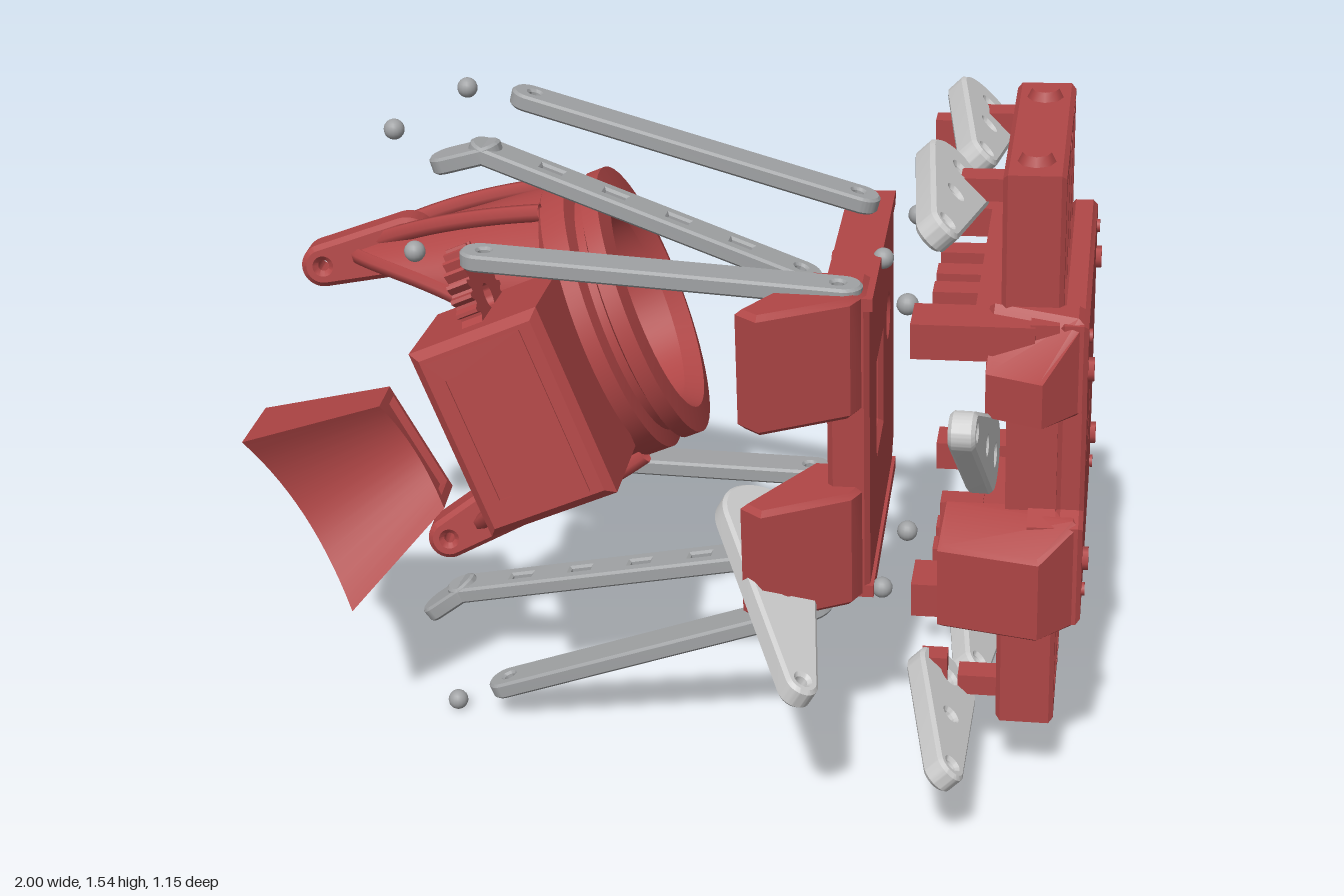
import * as THREE from 'three';
import { toCreasedNormals } from 'three/addons/utils/BufferGeometryUtils.js';

const mat = (color) => new THREE.MeshStandardMaterial({ color, side: THREE.DoubleSide });
const V = (a) => new THREE.Vector3(...a);

export function createModel() {
  const root = new THREE.Group();
  const red = mat(0xb04646), light = mat(0xcccccc), steel = mat(0xa0a2a4);

  const group = (name, parent = root) => {
    const g = new THREE.Group();
    g.name = name;
    parent.add(g);
    return g;
  };
  const add = (parent, name, geo, material = red, pos = [0, 0, 0]) => {
    const m = new THREE.Mesh(geo, material);
    m.name = name;
    m.position.set(...pos);
    parent.add(m);
    return m;
  };
  const box = (parent, name, size, pos) => add(parent, name, new THREE.BoxGeometry(...size), red, pos);
  const poly = (pts) => new THREE.Shape(pts.map((p) => new THREE.Vector2(...p)));
  const rect = (x0, y0, x1, y1) => poly([[x0, y0], [x1, y0], [x1, y1], [x0, y1]]);
  const circle = (x, y, r) => new THREE.Shape().absarc(x, y, r, 0, Math.PI * 2);
  const extrude = (shape, depth, holes = [], bevel = 0) => {
    shape.holes.push(...holes);
    return toCreasedNormals(new THREE.ExtrudeGeometry(shape, {
      depth, curveSegments: 14, bevelEnabled: bevel > 0, bevelSize: bevel,
      bevelThickness: bevel, bevelOffset: -bevel, bevelSegments: 1,
    }), 0.5);
  };
  // Outline in (z, y), thickness running toward -x
  const slab = (shape, depth, holes, bevel) => extrude(shape, depth, holes, bevel).rotateY(-Math.PI / 2);
  // Outline in (x, z), thickness running down from y = 0
  const prism = (pts, height) => extrude(poly(pts), height, [], 0.012).rotateX(Math.PI / 2);
  // Move every vertex by a rule, keeping hard edges
  const reshape = (geo, rule) => {
    const p = geo.attributes.position;
    for (let i = 0; i < p.count; i++) p.setXYZ(i, ...rule(p.getX(i), p.getY(i), p.getZ(i)));
    return toCreasedNormals(geo, 0.5);
  };
  // Local x along xDir, local z close to normal
  const orient = (obj, pos, xDir, normal) => {
    const x = V(xDir).normalize();
    const y = V(normal).cross(x).normalize();
    const z = x.clone().cross(y);
    obj.quaternion.setFromRotationMatrix(new THREE.Matrix4().makeBasis(x, y, z));
    obj.position.set(...pos);
    return obj;
  };
  const between = (p, q) => [q[0] - p[0], q[1] - p[1], q[2] - p[2]];

  // Tapered outline with round ends, used by horns, links and prongs
  const taper = (len, r1, r2) => {
    const t = Math.acos((r1 - r2) / len);
    const s = new THREE.Shape();
    s.absarc(0, 0, r1, t, 2 * Math.PI - t);
    s.absarc(len, 0, r2, -t, t);
    return s;
  };

  // ---- Body shell ----
  const body = group('body');
  body.position.set(0.905, 0.855, -0.13);
  body.rotation.set(0.025, 0.2, 0.035);
  // The front edge is set back between the two wings
  const outline = () => poly([[-0.45, -0.3], [-0.38, -0.36], [0.33, -0.36], [0.33, -0.12], [0.28, -0.1],
    [0.28, 0.14], [0.33, 0.16], [0.33, 0.36], [-0.38, 0.36], [-0.45, 0.3]]);
  const cross = poly([[-0.06, -0.09], [-0.045, -0.09], [-0.045, -0.02], [-0.02, -0.02], [-0.02, 0.01],
    [-0.045, 0.01], [-0.045, 0.09], [-0.06, 0.09], [-0.06, 0.01], [-0.075, 0.01], [-0.075, -0.02], [-0.06, -0.02]]);
  add(body, 'backPlate', slab(outline(), 0.04, [rect(0.125, -0.04, 0.14, 0.04), cross], 0.01));
  add(body, 'shellRim', slab(outline(), 0.06, [rect(-0.39, -0.29, 0.22, 0.29)]), red, [-0.05, 0, 0]);
  box(body, 'innerFloor', [0.02, 0.58, 0.6], [-0.065, 0, -0.07]);
  box(body, 'innerTray', [0.04, 0.2, 0.3], [-0.09, -0.12, -0.05]);
  box(body, 'frontPost', [0.06, 0.5, 0.05], [-0.13, 0, 0.25]);
  for (const z of [-0.35, 0.26]) for (const y of [-0.23, 0.23]) {
    const bolt = new THREE.CylinderGeometry(0.026, 0.026, 0.03, 6).rotateZ(Math.PI / 2);
    add(body, 'hexBolt', bolt, red, [0.008, y, z]);
    add(body, 'smallScrew', new THREE.CylinderGeometry(0.015, 0.015, 0.03, 10).rotateZ(Math.PI / 2), red,
      [0.002, y * 1.34, z]);
  }
  // Front wings: height, depth, then top and bottom at the narrowed outer end
  for (const [top, h, depth, outTop, outBottom] of [[0.36, 0.2, 0.2, 0.26, 0.16], [-0.12, 0.24, 0.3, -0.17, -0.355]]) {
    const wing = prism([[0, 0.32], [-0.08, 0.41], [-depth, 0.365], [-depth, 0.24], [0, 0.24]], h);
    add(body, 'frontWing', reshape(wing, (x, y, z) => {
      const f = -y / h, k = z > 0.34 ? 1 : 0;
      return [x, top + y + k * (outTop + (outBottom - outTop) * f - top - y), z];
    }));
  }
  for (const s of [-1, 1]) {
    box(body, 'rearArm', [0.26, 0.07, 0.09], [-0.23, s * 0.31, -0.39]);
    box(body, 'frontArm', [0.26, 0.08, 0.11], [-0.23, s * 0.315, 0.28]);
    box(body, 'sideFlange', [0.13, 0.05, 0.7], [-0.165, s * 0.33, -0.05]);
    for (const z of [-0.12, 0.0, 0.1]) box(body, 'flangeTab', [0.1, 0.04, 0.06], [-0.28, s * 0.32, z]);

    // Servo towers: a frame with three open bays
    const frame = rect(-0.29, 0, 0.29, 0.32);
    const bays = [-0.175, 0, 0.175].map((z) => rect(z - 0.065, 0.02, z + 0.065, 0.275));
    const tower = add(body, 'servoTower', slab(frame, 0.11, bays, 0.01), red, [-0.055, s * 0.345, -0.025]);
    if (s < 0) tower.rotation.x = Math.PI;
    for (const z of [-0.22, 0.18]) {
      add(body, 'towerCap', new THREE.CylinderGeometry(0.03, 0.045, 0.03, 8), red, [-0.11, s * 0.67, z]);
      box(body, 'hornMount', [0.13, 0.05, 0.06], [-0.2, s * 0.61, z]);
      box(body, 'hornClip', [0.06, 0.07, 0.05], [-0.32, s * 0.58, z]);
    }
    for (const z of [-0.24, -0.18, -0.03, 0.03]) {
      add(body, 'towerScrew', new THREE.CylinderGeometry(0.012, 0.012, 0.02, 8).rotateZ(Math.PI / 2), red,
        [-0.054, s * 0.642, z]);
    }
  }

  // ---- Separate front cover ----
  const cover = group('frontCover');
  cover.position.set(0.37, 0.82, -0.13);
  cover.rotation.set(0.02, 0.22, 0.03);
  add(cover, 'coverPlate', slab(poly([[-0.37, -0.3], [-0.3, -0.36], [0.32, -0.36], [0.32, 0.36], [-0.3, 0.36], [-0.37, 0.3]]),
    0.07, [circle(-0.2, 0.1, 0.045), rect(-0.05, -0.1, 0.12, 0.12)], 0.012), red, [0.045, 0, 0]);
  box(cover, 'coverInset', [0.03, 0.26, 0.22], [0.02, 0.01, 0.035]);
  for (const s of [-1, 1]) {
    box(cover, 'coverLip', [0.11, 0.03, 0.64], [0.01, s * 0.355, 0]);
    add(cover, 'coverWing', prism([[0.05, 0.2], [0.05, 0.3], [0.02, 0.36], [-0.17, 0.46], [-0.22, 0.42], [-0.08, 0.2]], 0.26),
      red, [0, s > 0 ? 0.37 : -0.1, 0]);
    add(cover, 'coverBoss', new THREE.CylinderGeometry(0.04, 0.05, 0.05, 16).rotateZ(Math.PI / 2), red, [-0.05, s * 0.22, -0.2]);
  }

  // ---- Servo horns: hub, tip, normal, hub radius, tip radius ----
  const tilt = [0.7, 0.71, 0];
  const horns = [
    [[0.64, 1.46, 0.12], [0.7, 1.47, 0.44], tilt, 0.09, 0.04],
    [[0.585, 1.46, -0.32], [0.66, 1.47, 0], tilt, 0.09, 0.04],
    [[0.67, 0.225, 0.11], [0.77, 0.215, 0.44], tilt, 0.09, 0.04],
    [[0.64, 0.22, -0.33], [0.71, 0.22, 0], tilt, 0.09, 0.04],
    [[0.76, 0.88, 0.21], [0.79, 1.07, 0.5], [0.98, 0, -0.2], 0.085, 0.042],
    [[0.23, 0.54, 0.1], [0.46, 0.41, 0.53], [0.45, 0.87, 0], 0.12, 0.04],
  ];
  for (const [hub, tip, n, r1, r2] of horns) {
    const g = group('servoHorn');
    const d = between(hub, tip), len = V(d).length();
    orient(g, hub, d, n);
    const holes = [circle(0, 0, 0.02), circle(len * 0.45, 0, 0.016), circle(len, 0, 0.014)];
    add(g, 'hornPlate', extrude(taper(len, r1, r2), 0.04, holes, 0.008), light, [0, 0, -0.02]);
  }

  // ---- Neck links, straight or bent near their ends ----
  const links = [
    [[-0.47, 1.4, -0.165], [0.31, 1.21, -0.295]],
    [[-0.55, 1.32, 0.085], [-0.47, 1.345, 0.07], [0.25, 1.1, -0.06]],
    [[-0.38, 1.185, 0.3], [0.42, 1.175, 0.165]],
    [[-0.44, 0.475, -0.16], [0.22, 0.49, -0.285]],
    [[-0.62, 0.14, 0.09], [-0.56, 0.19, 0.08], [0.18, 0.375, -0.04], [0.23, 0.405, -0.05]],
    [[-0.35, 0.08, 0.28], [0.38, 0.39, 0.17]],
  ];
  for (const path of links) {
    const g = group('neckLink');
    for (let i = 0; i + 1 < path.length; i++) {
      const d = between(path[i], path[i + 1]), len = V(d).length();
      const slots = len < 0.3 ? [] : [circle(0.01, 0, 0.014), circle(len - 0.01, 0, 0.014)];
      if (path.length > 2 && len > 0.3) {
        for (const f of [0.2, 0.4, 0.6, 0.8]) slots.push(rect(len * f - 0.025, -0.011, len * f + 0.025, 0.011));
      }
      const seg = add(g, 'linkBar', extrude(taper(len, 0.044, 0.044), 0.028, slots, 0.006), steel);
      orient(seg, path[i], d, [0, 1, 0]);
    }
  }

  // ---- Loose joint balls ----
  for (const p of [[-0.68, 1.4, 0.11], [-0.61, 1.435, -0.13], [-0.53, 1.2, 0.32], [-0.485, 0.026, 0.297],
    [0.45, 1.2, -0.31], [0.44, 1.18, -0.07], [0.525, 0.46, 0.13], [0.56, 1.17, 0.14], [0.52, 0.5, -0.08]]) {
    add(root, 'jointBall', new THREE.SphereGeometry(0.024, 16, 12), steel, p);
  }

  // ---- Head: local x is the ring axis, local y runs between the prongs ----
  const head = group('head');
  orient(head, [-0.245, 0.895, -0.2], [0.87, 0.39, -0.28], [0.255, 0.115, 0.95]);
  const profile = [[0.25, -0.1], [0.31, -0.1], [0.35, -0.06], [0.35, 0], [0.31, 0.01], [0.31, 0.03], [0.34, 0.04],
    [0.34, 0.08], [0.28, 0.09], [0.25, 0.05], [0.25, -0.1]].map((p) => new THREE.Vector2(...p));
  add(head, 'headRing', toCreasedNormals(new THREE.LatheGeometry(profile, 56).rotateZ(-Math.PI / 2), 0.5));

  // Skirt behind the ring, arched at the sides and long at the prongs
  const skirtPoint = (phi, t, k = 1) => {
    const s = Math.sin(phi), c = Math.cos(phi);
    return [-0.05 - t * (0.15 + 0.36 * s * s), 0.345 * k * s * (1 + 0.14 * t), 0.32 * k * c * (1 - 0.25 * t)];
  };
  for (const k of [1, 0.92]) {
    const skirt = new THREE.PlaneGeometry(1, 1, 64, 8);
    const p = skirt.attributes.position, uv = skirt.attributes.uv;
    for (let i = 0; i < p.count; i++) p.setXYZ(i, ...skirtPoint(uv.getX(i) * Math.PI * 2, uv.getY(i), k));
    skirt.computeVertexNormals();
    add(head, 'skirt', skirt);
  }
  const rim = Array.from({ length: 32 }, (_, i) => V(skirtPoint(i / 16 * Math.PI, 1, 0.96)));
  add(head, 'skirtRim', new THREE.TubeGeometry(new THREE.CatmullRomCurve3(rim, true), 96, 0.02, 6, true));
  for (const s of [-1, 1]) {
    const prong = add(head, 'prong', extrude(taper(0.21, 0.07, 0.052), 0.08, [circle(0.21, 0, 0.013)], 0.012));
    orient(prong, [-0.43, s * 0.345, -0.04], [-0.97, s * 0.15, 0.1], [0, 0, 1]);
    for (const z of [-0.14, 0.14]) {
      const rib = new THREE.QuadraticBezierCurve3(V([-0.06, s * 0.32, z]), V([-0.3, s * 0.39, z * 0.8]), V([-0.5, s * 0.38, z * 0.2]));
      add(head, 'skirtRib', new THREE.TubeGeometry(rib, 16, 0.022, 6));
    }
  }

  // Side housing with its recessed lid and the toothed wheel beside it
  const housing = group('sideHousing', head);
  housing.position.set(-0.2, -0.025, 0.27);
  add(housing, 'housingBlock', extrude(rect(-0.15, -0.23, 0.16, 0.23), 0.31, [], 0.02));
  add(housing, 'housingLid', extrude(rect(-0.12, -0.2, 0.11, 0.2), 0.02, [rect(-0.09, -0.15, -0.06, 0.15)]), red, [0, 0, 0.315]);
  for (const y of [-0.2, 0.2]) {
    add(housing, 'housingEar', new THREE.CylinderGeometry(0.03, 0.03, 0.3, 12).rotateZ(Math.PI / 2), red, [0, y, 0.27]);
  }
  const teeth = 24, toothed = [];
  for (let i = 0; i < teeth * 4; i++) {
    const a = i / (teeth * 4) * Math.PI * 2, r = i % 4 < 2 ? 0.13 : 0.108;
    toothed.push([r * Math.cos(a), r * Math.sin(a)]);
  }
  add(head, 'toothedWheel', slab(poly(toothed), 0.05, [circle(0, 0, 0.03)]), red, [-0.18, 0.23, 0.4]);

  // ---- Visor: hollow hood, open at the wide end, one side curved inward ----
  const visor = group('visor');
  orient(visor, [-0.8, 0.545, 0.405], [0.78, 0.5, -0.38], [0.255, 0.115, 0.95]);
  const hood = new THREE.Shape();
  hood.moveTo(0.15, 0.235);
  hood.quadraticCurveTo(-0.03, 0, 0.15, -0.235);
  hood.lineTo(-0.14, -0.235);
  hood.lineTo(-0.14, 0.235);
  const hollow = poly([[0.08, 0.2], [0.03, 0.08], [0.03, -0.08], [0.08, -0.2], [-0.11, -0.2], [-0.11, 0.2]]);
  const length = 0.3;
  const hoodGeo = slab(hood, length, [hollow]).translate(length, 0, 0);
  add(visor, 'visorHood', reshape(hoodGeo, (x, y, z) => {
    const f = 1 - 0.4 * x / length;
    return [x, y * f, z * f];
  }));
  box(visor, 'visorBack', [0.02, 0.24, 0.08], [0.27, 0, -0.03]);

  return root;
}
